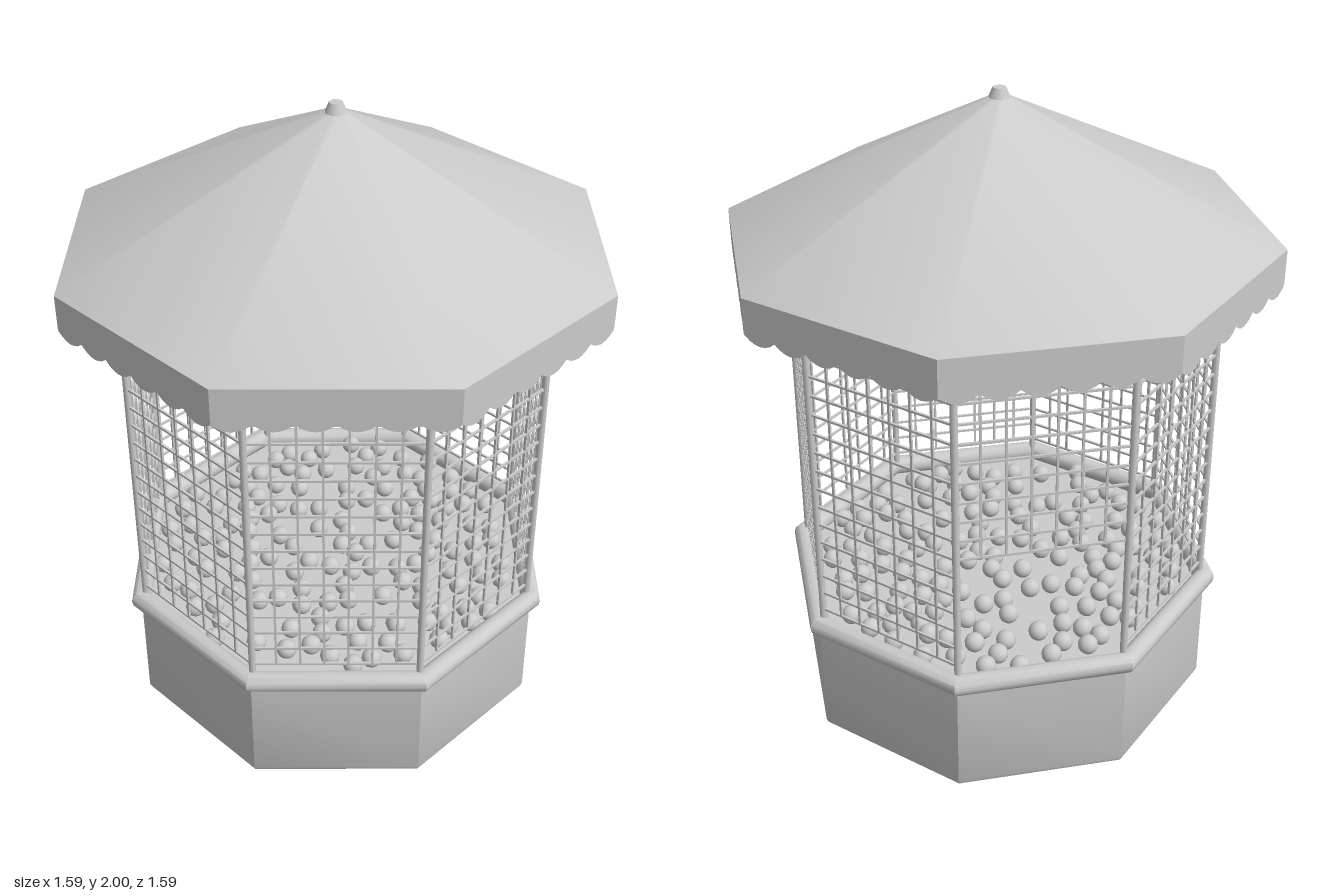
import * as THREE from 'three';
import { mergeGeometries, toCreasedNormals } from 'three/addons/utils/BufferGeometryUtils.js';

const SIDES = 8;
const START = THREE.MathUtils.degToRad(26.2); // first corner, from +x towards +z
const STEP = (Math.PI * 2) / SIDES;
const SPIN = Math.PI / 2 - START; // same corner for lathes and cylinders
const WIDTH = 2 * Math.sin(STEP / 2); // side length per unit radius
const APOTHEM = Math.cos(STEP / 2);

const grey = new THREE.MeshStandardMaterial({ color: 0xcccccc });
const sheet = new THREE.MeshStandardMaterial({ color: 0xcccccc, side: THREE.DoubleSide });

function part(name, geometry, material = grey) {
  const mesh = new THREE.Mesh(geometry, material);
  mesh.name = name;
  return mesh;
}

// Puts an object, drawn in the xy plane, on side k of an octagon of radius r
function onSide(object, k, r) {
  const a = START + (k + 0.5) * STEP;
  object.position.set(Math.cos(a) * r * APOTHEM, 0, Math.sin(a) * r * APOTHEM);
  object.rotation.y = Math.PI / 2 - a;
  return object;
}

// Wire grid for one side; wires start at the given bottom height
function wireGrid(width, bottom) {
  const wires = [];
  const t = 0.007, top = 1.5, columns = 7, pitch = 0.063;
  for (let i = 1; i < columns; i++) {
    const x = (i / columns - 0.5) * width;
    wires.push(new THREE.BoxGeometry(t, top - bottom, t).translate(x, (top + bottom) / 2, 0));
  }
  for (let i = 0; i < 17; i++) {
    const y = 0.46 + i * pitch;
    if (y >= bottom - 0.01) wires.push(new THREE.BoxGeometry(width, t, t).translate(0, y, 0));
  }
  return mergeGeometries(wires);
}

// Flat cloth strip with a scalloped lower edge
function valanceStrip(width) {
  const count = 6, top = 1.57, low = 1.46, dip = 1.415;
  const s = new THREE.Shape();
  s.moveTo(-width / 2, top);
  s.lineTo(-width / 2, low);
  for (let i = 0; i < count; i++) {
    const x = (i / count - 0.5) * width, w = width / count;
    s.quadraticCurveTo(x + w / 2, dip, x + w, low);
  }
  s.lineTo(width / 2, top);
  return new THREE.ShapeGeometry(s, 6);
}

function seeded(seed) {
  return () => (seed = (seed * 16807) % 2147483647) / 2147483647;
}

export function createModel() {
  const model = new THREE.Group();
  model.name = 'ballPitPavilion';

  // Solid octagonal base with softened edges
  const profile = [[0, 0], [0.655, 0], [0.67, 0.006], [0.676, 0.02], [0.676, 0.37], [0, 0.37]]
    .map(([x, y]) => new THREE.Vector2(x, y));
  const base = new THREE.LatheGeometry(profile, SIDES).rotateY(SPIN);
  model.add(part('base', toCreasedNormals(base, 0.6)));

  // Padded rim
  const rim = new THREE.TorusGeometry(0.676, 0.033, 12, SIDES).rotateZ(START).rotateX(Math.PI / 2);
  rim.translate(0, 0.4, 0);
  model.add(part('rim', toCreasedNormals(rim, 0.6)));

  // Corner posts, wire sides and valance; the back side has an entrance
  const cageR = 0.66, roofR = 0.838, back = 5;
  const posts = new THREE.Group();
  posts.name = 'posts';
  const cage = new THREE.Group();
  cage.name = 'wireSides';
  const valance = new THREE.Group();
  valance.name = 'valance';
  const postGeo = new THREE.CylinderGeometry(0.011, 0.011, 1.17, 10);
  const fullGrid = wireGrid(cageR * WIDTH, 0.46);
  const entranceGrid = wireGrid(cageR * WIDTH, 0.838);
  const strip = valanceStrip(roofR * WIDTH);
  for (let k = 0; k < SIDES; k++) {
    const a = START + k * STEP;
    const post = part('post', postGeo);
    post.position.set(Math.cos(a) * cageR, 0.975, Math.sin(a) * cageR);
    posts.add(post);
    cage.add(onSide(part('wireSide', k === back ? entranceGrid : fullGrid), k, cageR));
    valance.add(onSide(part('valanceStrip', strip, sheet), k, roofR));
  }
  model.add(posts, cage, valance);

  // Pyramid roof and its small cap
  const roof = new THREE.CylinderGeometry(0.025, roofR, 0.405, SIDES, 1, true);
  roof.rotateY(SPIN).translate(0, 1.7725, 0);
  model.add(part('roof', roof, sheet));
  const cap = new THREE.CylinderGeometry(0.02, 0.035, 0.035, SIDES).rotateY(SPIN);
  cap.translate(0, 1.9825, 0);
  model.add(part('roofCap', cap));

  // Loose balls over the floor, kept apart, and one lying on top
  const balls = new THREE.Group();
  balls.name = 'balls';
  const ballGeo = new THREE.SphereGeometry(0.031, 14, 10);
  const rand = seeded(4711);
  const spots = [new THREE.Vector3(0.16, 0.44, 0.43)];
  for (let tries = 0; tries < 3000 && spots.length < 140; tries++) {
    const r = 0.58 * Math.sqrt(rand()), a = rand() * Math.PI * 2;
    const p = new THREE.Vector3(Math.cos(a) * r, 0.401, Math.sin(a) * r);
    if (spots.every((q) => q.distanceTo(p) > 0.06)) spots.push(p);
  }
  for (const p of spots) {
    const ball = part('ball', ballGeo);
    ball.position.copy(p);
    balls.add(ball);
  }
  model.add(balls);
  return model;
}
